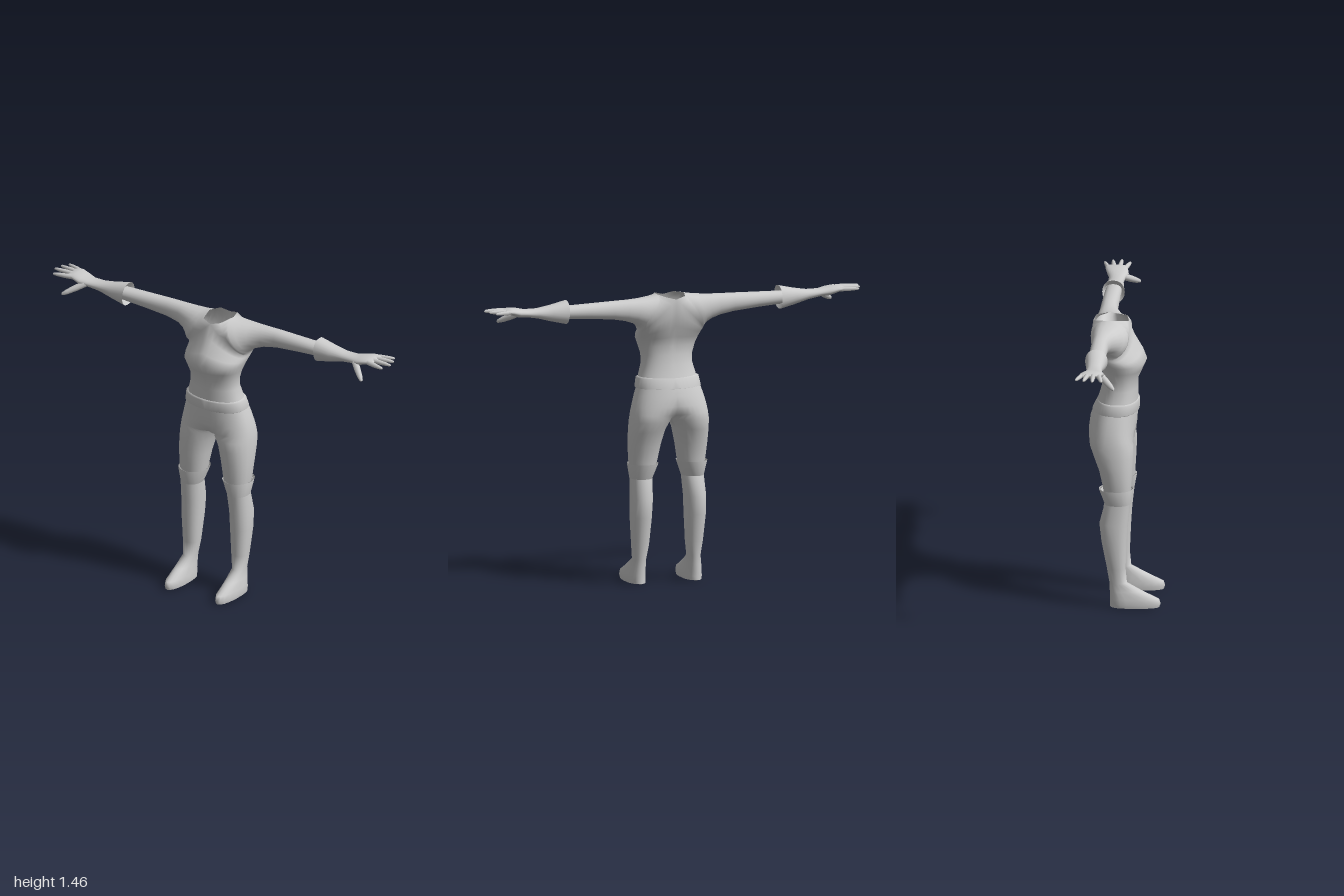
import * as THREE from 'three';
import { mergeVertices } from 'three/addons/utils/BufferGeometryUtils.js';

const material = new THREE.MeshStandardMaterial({ color: 0xcccccc, side: THREE.DoubleSide });
const STEPS = 20;

// Skin over cross-sections. Each station is
// [outer x, y, inner x, y, centre z, front depth, back depth, sweep degrees].
// A sweep of 180 closes the loop; 90 leaves it open so that it meets its mirror at x = 0.
function skin(stations, sides) {
  const pos = [], index = [];
  const row = STEPS + 1;
  for (const side of sides) {
    const start = pos.length / 3;
    stations.forEach(([ax, ay, bx, by, zc, front, back, sweep = 180], j) => {
      const end = THREE.MathUtils.degToRad(sweep);
      for (let i = 0; i <= STEPS; i++) {
        const u = (2 * i) / STEPS - 1;
        const t = Math.abs(u) * end;
        const s = (1 - Math.cos(t)) / (1 - Math.cos(end));
        const bulge = Math.pow(Math.max(Math.sin(t), 0), 0.85);
        pos.push(side * (ax + (bx - ax) * s), ay + (by - ay) * s, zc + bulge * (u < 0 ? front : -back));
        if (j && i) {
          const d = start + j * row + i, c = d - 1, b = d - row, a = b - 1;
          if (side > 0) index.push(a, c, b, b, c, d);
          else index.push(a, b, c, b, d, c);
        }
      }
    });
  }
  let g = new THREE.BufferGeometry();
  g.setAttribute('position', new THREE.Float32BufferAttribute(pos, 3));
  g.setIndex(index);
  g = mergeVertices(g, 1e-4);
  g.computeVertexNormals();
  return g;
}

// Tapered, round-tipped digit between two points
function digit(base, tip, r) {
  const from = new THREE.Vector3(...base), dir = new THREE.Vector3(...tip).sub(from);
  const len = dir.length();
  const profile = [[r, 0], [r, 0.4], [r * 0.8, 0.75], [r * 0.5, 0.95], [0, 1]]
    .map(([x, y]) => new THREE.Vector2(x, y * len));
  const g = new THREE.LatheGeometry(profile, 8);
  g.applyQuaternion(new THREE.Quaternion().setFromUnitVectors(new THREE.Vector3(0, 1, 0), dir.normalize()));
  return g.translate(from.x, from.y, from.z);
}

// Sleeve, turning at the armpit into one half of the torso
const shirt = [
  [0.60, 1.370, 0.60, 1.432, -0.107, 0.040, 0.040],
  [0.45, 1.360, 0.45, 1.436, -0.107, 0.042, 0.042],
  [0.32, 1.348, 0.32, 1.440, -0.107, 0.043, 0.043],
  [0.25, 1.335, 0.24, 1.441, -0.105, 0.052, 0.047],
  [0.207, 1.32, 0.17, 1.443, -0.100, 0.075, 0.058],
  [0.185, 1.305, 0.11, 1.448, -0.090, 0.092, 0.072],
  [0.176, 1.295, 0.072, 1.454, -0.085, 0.104, 0.080],
  [0.172, 1.285, 0.05, 1.448, -0.083, 0.106, 0.085, 130],
  [0.170, 1.275, 0, 1.435, -0.080, 0.098, 0.085, 105],
  [0.168, 1.265, 0, 1.37, -0.070, 0.112, 0.095, 90],
  [0.164, 1.250, 0, 1.30, -0.055, 0.138, 0.095, 90],
  [0.159, 1.230, 0, 1.242, -0.040, 0.143, 0.086, 90],
  [0.146, 1.195, 0, 1.195, -0.032, 0.115, 0.080, 90],
  [0.132, 1.15, 0, 1.15, -0.030, 0.092, 0.084, 90],
  [0.131, 1.10, 0, 1.10, -0.030, 0.090, 0.090, 90],
  [0.145, 1.05, 0, 1.05, -0.035, 0.095, 0.100, 90],
  [0.155, 1.01, 0, 1.01, -0.040, 0.100, 0.108, 90],
];

const hem = [
  [0.148, 1.040, 0, 1.040, -0.038, 0.098, 0.098, 90],
  [0.160, 1.034, 0, 1.034, -0.040, 0.108, 0.102, 90],
  [0.168, 0.988, 0, 0.988, -0.045, 0.112, 0.120, 90],
  [0.160, 0.982, 0, 0.982, -0.045, 0.102, 0.112, 90],
];

// Hips, dividing into a thigh below the crotch
const trousers = [
  [0.158, 1.00, 0, 1.00, -0.050, 0.108, 0.108, 90],
  [0.176, 0.95, 0, 0.95, -0.055, 0.112, 0.120, 90],
  [0.190, 0.90, 0, 0.90, -0.060, 0.112, 0.121, 98],
  [0.198, 0.86, 0, 0.855, -0.060, 0.106, 0.118, 125],
  [0.203, 0.82, 0, 0.828, -0.060, 0.105, 0.112],
  [0.205, 0.77, 0.025, 0.78, -0.055, 0.100, 0.098],
  [0.205, 0.70, 0.044, 0.70, -0.045, 0.086, 0.080],
  [0.199, 0.62, 0.058, 0.62, -0.037, 0.073, 0.070],
  [0.188, 0.55, 0.075, 0.55, -0.035, 0.062, 0.060],
];

const bootCuff = [
  [0.194, 0.600, 0.065, 0.600, -0.040, 0.072, 0.072],
  [0.206, 0.607, 0.055, 0.607, -0.040, 0.085, 0.086],
  [0.192, 0.530, 0.083, 0.530, -0.033, 0.064, 0.063],
];

const boot = [
  [0.192, 0.530, 0.083, 0.530, -0.033, 0.064, 0.063],
  [0.196, 0.43, 0.088, 0.43, -0.050, 0.070, 0.072],
  [0.197, 0.34, 0.091, 0.34, -0.048, 0.062, 0.064],
  [0.187, 0.20, 0.100, 0.20, -0.038, 0.046, 0.047],
  [0.178, 0.125, 0.112, 0.125, -0.028, 0.043, 0.044],
  [0.186, 0.085, 0.110, 0.085, -0.010, 0.100, 0.060],
  [0.192, 0.045, 0.107, 0.045, 0.010, 0.165, 0.078],
  [0.195, 0.022, 0.105, 0.022, 0.015, 0.167, 0.083],
  [0.192, 0.003, 0.107, 0.003, 0.015, 0.160, 0.083],
];

const sole = [
  [0.192, 0.003, 0.107, 0.003, 0.015, 0.160, 0.083],
  [0.150, 0.000, 0.149, 0.000, 0.015, 0.150, 0.078],
];

// Palm and wrist, listed from knuckles to forearm
const glove = [
  [0.908, 1.430, 0.908, 1.431, -0.112, 0.046, 0.052],
  [0.895, 1.418, 0.895, 1.440, -0.112, 0.050, 0.056],
  [0.865, 1.407, 0.865, 1.443, -0.110, 0.055, 0.056],
  [0.825, 1.393, 0.825, 1.438, -0.104, 0.056, 0.052],
  [0.785, 1.391, 0.785, 1.429, -0.102, 0.042, 0.042],
  [0.72, 1.380, 0.72, 1.430, -0.104, 0.038, 0.038],
  [0.65, 1.361, 0.65, 1.442, -0.105, 0.046, 0.046],
  [0.57, 1.342, 0.565, 1.461, -0.106, 0.057, 0.055],
];

const gloveLip = [
  [0.57, 1.342, 0.565, 1.461, -0.106, 0.057, 0.055],
  [0.585, 1.365, 0.582, 1.437, -0.107, 0.044, 0.043],
];

// Base, tip and radius of the four fingers and the thumb
const digits = [
  [[0.87, 1.426, -0.150], [0.97, 1.428, -0.178], 0.011],
  [[0.87, 1.428, -0.124], [0.99, 1.431, -0.138], 0.012],
  [[0.87, 1.428, -0.098], [1.00, 1.431, -0.094], 0.012],
  [[0.87, 1.425, -0.072], [0.98, 1.425, -0.050], 0.012],
  [[0.80, 1.408, -0.072], [0.892, 1.356, 0.006], 0.017],
];

export function createModel() {
  const model = new THREE.Group();
  const add = (parent, name, geometry) => {
    const mesh = new THREE.Mesh(geometry, material);
    mesh.name = name;
    parent.add(mesh);
    return mesh;
  };

  add(model, 'shirt', skin(shirt, [1, -1]));
  add(model, 'shirtHem', skin(hem, [1, -1]));
  add(model, 'trousers', skin(trousers, [1, -1]));

  for (const side of [1, -1]) {
    const label = side > 0 ? 'left' : 'right';

    const leg = new THREE.Group();
    leg.name = label + 'Boot';
    add(leg, 'bootShaft', skin(boot, [side]));
    add(leg, 'bootCuff', skin(bootCuff, [side]));
    add(leg, 'sole', skin(sole, [side]));

    const hand = new THREE.Group();
    hand.name = label + 'Glove';
    add(hand, 'gauntlet', skin(glove, [side]));
    add(hand, 'gauntletLip', skin(gloveLip, [side]));
    digits.forEach(([base, tip, r], i) => {
      const flip = ([x, y, z]) => [x * side, y, z];
      add(hand, i < 4 ? 'finger' + (i + 1) : 'thumb', digit(flip(base), flip(tip), r));
    });

    model.add(leg, hand);
  }
  return model;
}
